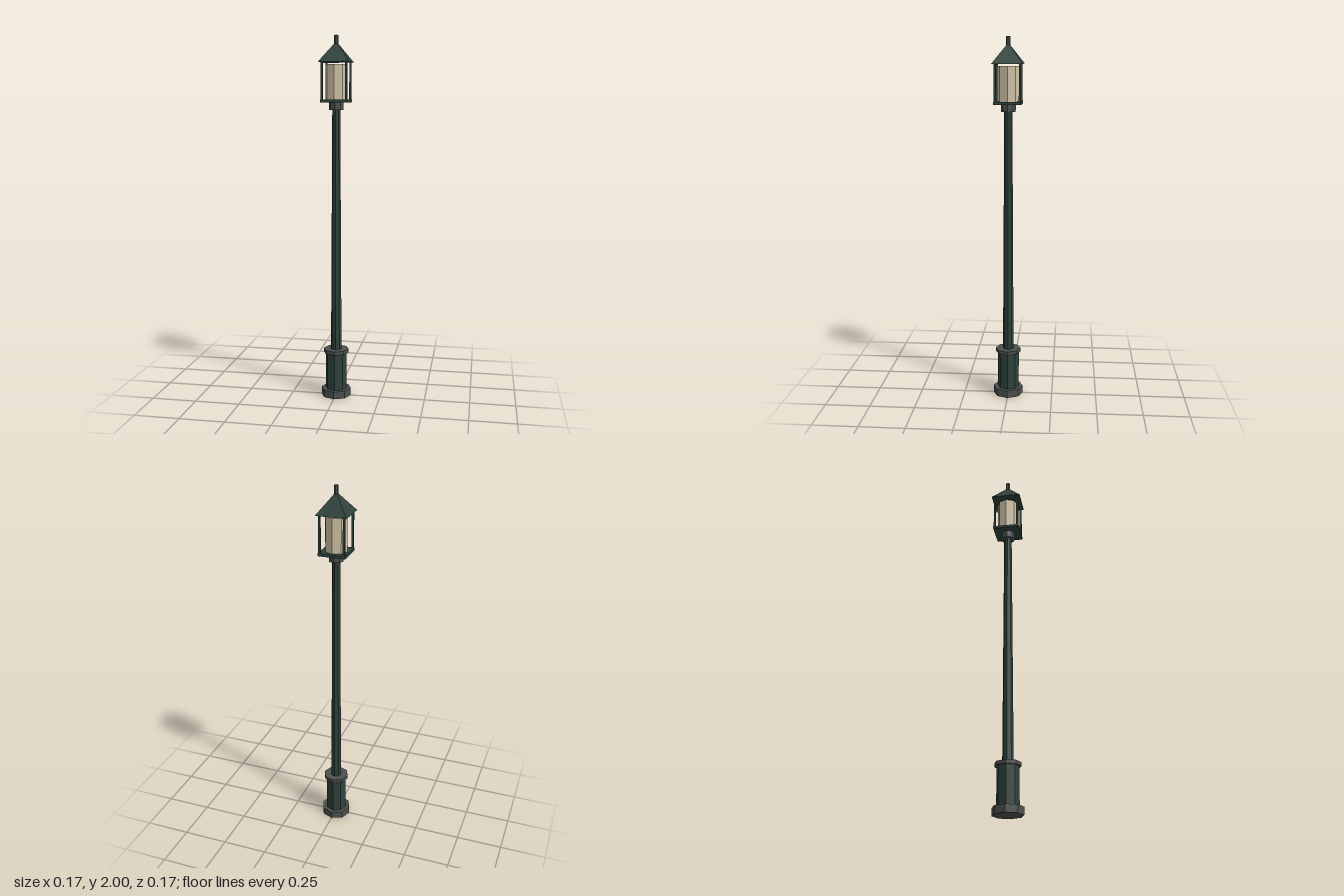
import * as THREE from 'three';

const material = (color) => new THREE.MeshStandardMaterial({ color, flatShading: true });

export function createModel() {
  const lamp = new THREE.Group();
  lamp.name = 'streetLamp';
  const green = material(0x2f423b);
  const iron = material(0x4c504e);
  const glass = material(0xd0c3a6);

  function add(name, geometry, mat, x, y, z) {
    const mesh = new THREE.Mesh(geometry, mat);
    mesh.name = name;
    mesh.position.set(x, y, z);
    lamp.add(mesh);
    return mesh;
  }

  // Upright prism between two heights, optionally tapered
  function prism(name, mat, y0, y1, rBottom, rTop = rBottom, sides = 8) {
    const geometry = new THREE.CylinderGeometry(rTop, rBottom, y1 - y0, sides);
    return add(name, geometry, mat, 0, (y0 + y1) / 2, 0);
  }

  // Foot and tapered post
  prism('plinth', iron, 0, 0.042, 0.083);
  prism('pedestal', green, 0.042, 0.25, 0.06);
  prism('pedestalCollar', iron, 0.25, 0.27, 0.071);
  prism('post', green, 0.27, 1.605, 0.03, 0.022);
  prism('neckCollar', iron, 1.605, 1.645, 0.04);

  // Lantern: square floor, glass body and four corner bars
  add('lanternFloor', new THREE.BoxGeometry(0.148, 0.015, 0.148), green, 0, 1.6525, 0);
  prism('lanternGlass', glass, 1.66, 1.846, 0.06);
  for (const x of [-1, 1]) {
    for (const z of [-1, 1]) {
      add('cornerBar', new THREE.BoxGeometry(0.011, 0.2, 0.011), green, x * 0.066, 1.76, z * 0.066);
    }
  }

  // Pyramid roof, turned so its sides face the axes, and finial
  const roof = prism('roof', green, 1.858, 1.967, 0.083 * Math.SQRT2, 0, 4);
  roof.rotation.y = Math.PI / 4;
  prism('finial', iron, 1.945, 2, 0.0115, 0.0115, 6);

  return lamp;
}
